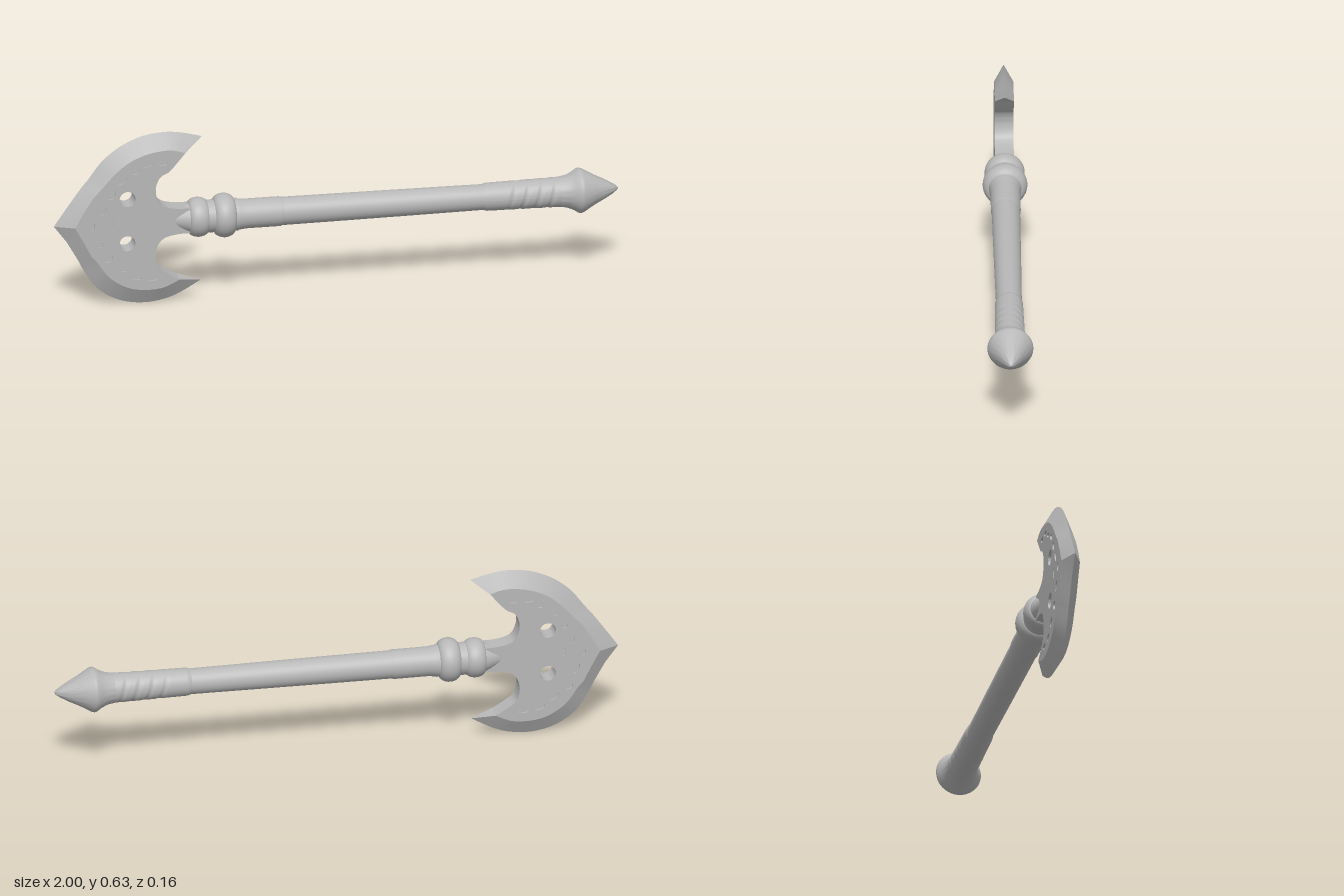
import * as THREE from 'three';
import { toCreasedNormals } from 'three/addons/utils/BufferGeometryUtils.js';

const AXIS_Y = 0.305;
const HALF = 0.033; // half thickness of the axe head
const PIT = 0.006;  // depth of the carved pits

const vecs = (pts) => pts.map(([x, y]) => new THREE.Vector2(x, y));
const spline = (pts, n) => new THREE.SplineCurve(vecs(pts)).getPoints(n);

// Cutting edge (sharp) and the matching inner border of its bevel, nose first
const upper = {
  noseOuter: [[-1, .305], [-.955, .37], [-.905, .44]],
  noseInner: [[-.93, .305], [-.90, .36], [-.865, .415]],
  outer: [[-.88, .47], [-.835, .53], [-.79, .57], [-.74, .60], [-.68, .622], [-.61, .63], [-.55, .624], [-.475, .605]],
  inner: [[-.84, .44], [-.795, .49], [-.755, .525], [-.715, .548], [-.665, .565], [-.61, .572], [-.575, .569], [-.54, .558]],
  throat: [[-.54, .558], [-.58, .51], [-.60, .49], [-.63, .472], [-.645, .43], [-.635, .385], [-.61, .362], [-.56, .352], [-.50, .352]],
};
const lower = {
  noseOuter: [[-1, .305], [-.955, .245], [-.915, .175]],
  noseInner: [[-.93, .305], [-.90, .25], [-.872, .195]],
  outer: [[-.90, .145], [-.86, .08], [-.81, .037], [-.75, .01], [-.68, 0], [-.61, .008], [-.55, .03], [-.48, .07]],
  inner: [[-.85, .17], [-.815, .12], [-.775, .087], [-.73, .066], [-.68, .058], [-.63, .06], [-.595, .071], [-.56, .088]],
  throat: [[-.56, .088], [-.60, .112], [-.635, .14], [-.645, .185], [-.635, .225], [-.61, .248], [-.56, .258], [-.50, .258]],
};

// One chain from the lower horn round the nose to the upper horn
function chain(nose, edge) {
  const up = [...vecs(upper[nose]), ...spline(upper[edge], 35)];
  const down = [...vecs(lower[nose]).slice(1), ...spline(lower[edge], 35)];
  return [...down.reverse(), ...up];
}

// Bevels on both faces, plus a small triangle closing each horn
function bevelGeometry(outer, inner) {
  const pos = [];
  const tri = (...pts) => pts.forEach(([p, z]) => pos.push(p.x, p.y, z));
  for (let i = 0; i < outer.length - 1; i++) {
    const a = outer[i], b = outer[i + 1], c = inner[i + 1], d = inner[i];
    tri([a, 0], [d, HALF], [c, HALF]);
    tri([a, 0], [c, HALF], [b, 0]);
    tri([a, 0], [c, -HALF], [d, -HALF]);
    tri([a, 0], [b, 0], [c, -HALF]);
  }
  const n = outer.length - 1;
  tri([outer[n], 0], [inner[n], HALF], [inner[n], -HALF]);
  tri([outer[0], 0], [inner[0], -HALF], [inner[0], HALF]);
  const g = new THREE.BufferGeometry();
  g.setAttribute('position', new THREE.Float32BufferAttribute(pos, 3));
  return toCreasedNormals(g, 0.4);
}

function ellipse(x, y, rx, ry, turn = 0) {
  return new THREE.Path().absellipse(x, y, rx, ry, 0, Math.PI * 2, false, turn);
}

// Carved pits: x, y, radii, turn
const pits = [
  [-.80, .42, .012, .018, -.5], [-.765, .47, .020, .010, .7], [-.715, .50, .016, .009, .4],
  [-.675, .525, .020, .010, .1], [-.62, .525, .018, .009, .1], [-.83, .365, .008, .022, -.4],
  [-.87, .308, .010, .016, 0], [-.845, .245, .010, .020, .4], [-.815, .185, .020, .015, .6],
  [-.765, .145, .020, .011, -.6], [-.715, .108, .020, .010, -.3], [-.655, .10, .022, .010, .1],
  [-.80, .315, .008, .018, 0],
];

function plateGeometry(inner, carved, depth, z) {
  const shape = new THREE.Shape([
    ...inner,
    ...spline(upper.throat, 40).slice(1),
    ...spline(lower.throat, 40).reverse().slice(0, -1),
  ]);
  shape.holes.push(ellipse(-.745, .40, .028, .028), ellipse(-.745, .235, .028, .028));
  if (carved) pits.forEach((p) => shape.holes.push(ellipse(...p)));
  const g = new THREE.ExtrudeGeometry(shape, { depth, bevelEnabled: false, curveSegments: 14 });
  g.translate(0, 0, z);
  return toCreasedNormals(g, 0.6);
}

// Turned part along x from [x, radius] pairs
function turned(profile) {
  const g = new THREE.LatheGeometry(profile.map(([x, r]) => new THREE.Vector2(r, x)), 48);
  g.rotateZ(-Math.PI / 2);
  return g.translate(0, AXIS_Y, 0);
}

// Rounded collar with a half-ellipse section
function collar(x, halfWidth, base, height) {
  const pts = [];
  for (let i = 0; i <= 14; i++) {
    const a = Math.PI * i / 14;
    pts.push([x - halfWidth * Math.cos(a), base + height * Math.sin(a)]);
  }
  return turned(pts);
}

// Grip with shallow slanted carving
function gripGeometry() {
  const pts = [[.515, .044], [.53, .049]];
  for (let i = 1; i <= 60; i++) pts.push([.53 + .27 * i / 60, .049 + .004 * i / 60]);
  const g = turned(pts);
  const p = g.attributes.position;
  for (let i = 0; i < p.count; i++) {
    const x = p.getX(i), y = p.getY(i) - AXIS_Y, z = p.getZ(i);
    const a = Math.atan2(z, y);
    const fade = THREE.MathUtils.smoothstep(x, .58, .63) * (1 - THREE.MathUtils.smoothstep(x, .76, .80));
    const s = 1 - .07 * fade * Math.max(0, Math.sin(x * 130 + 2 * a)) * Math.abs(Math.sin(a));
    p.setXYZ(i, x, AXIS_Y + y * s, z * s);
  }
  g.computeVertexNormals();
  return g;
}

export function createModel() {
  const model = new THREE.Group();
  const stone = new THREE.MeshStandardMaterial({ color: 0xb8b8b8 });
  stone.name = 'plain grey';
  const add = (name, geometry, parent = model) => {
    const mesh = new THREE.Mesh(geometry, stone);
    mesh.name = name;
    parent.add(mesh);
  };

  // Axe head: core plate, carved skins and sharpened rim
  const head = new THREE.Group();
  head.name = 'axeHead';
  model.add(head);
  const outer = chain('noseOuter', 'outer');
  const inner = chain('noseInner', 'inner');
  add('headCore', plateGeometry(inner, false, 2 * (HALF - PIT), -HALF + PIT), head);
  add('frontCarving', plateGeometry(inner, true, PIT, HALF - PIT), head);
  add('backCarving', plateGeometry(inner, true, PIT, -HALF), head);
  add('cuttingEdge', bevelGeometry(outer, inner), head);

  // Handle parts from head to pommel
  add('socket', turned([[-.61, .012], [-.585, .03], [-.55, .042], [-.52, .054], [-.49, .058], [-.35, .057]]));
  add('frontCollar', collar(-.49, .034, .05, .02));
  add('rearCollar', collar(-.398, .038, .05, .028));
  add('ferrule', turned([[-.38, .058], [-.35, .055], [-.32, .052], [-.20, .052], [-.19, .048]]));
  add('shaft', turned([[-.20, .0495], [.0, .0485], [.25, .047], [.53, .045]]));
  add('grip', gripGeometry());
  add('pommel', toCreasedNormals(turned([
    [.79, .053], [.815, .057], [.84, .068], [.853, .077], [.862, .08], [.872, .077],
    [.91, .055], [.95, .035], [.98, .018], [.994, .008], [1, 0],
  ]), 0.7));
  return model;
}
